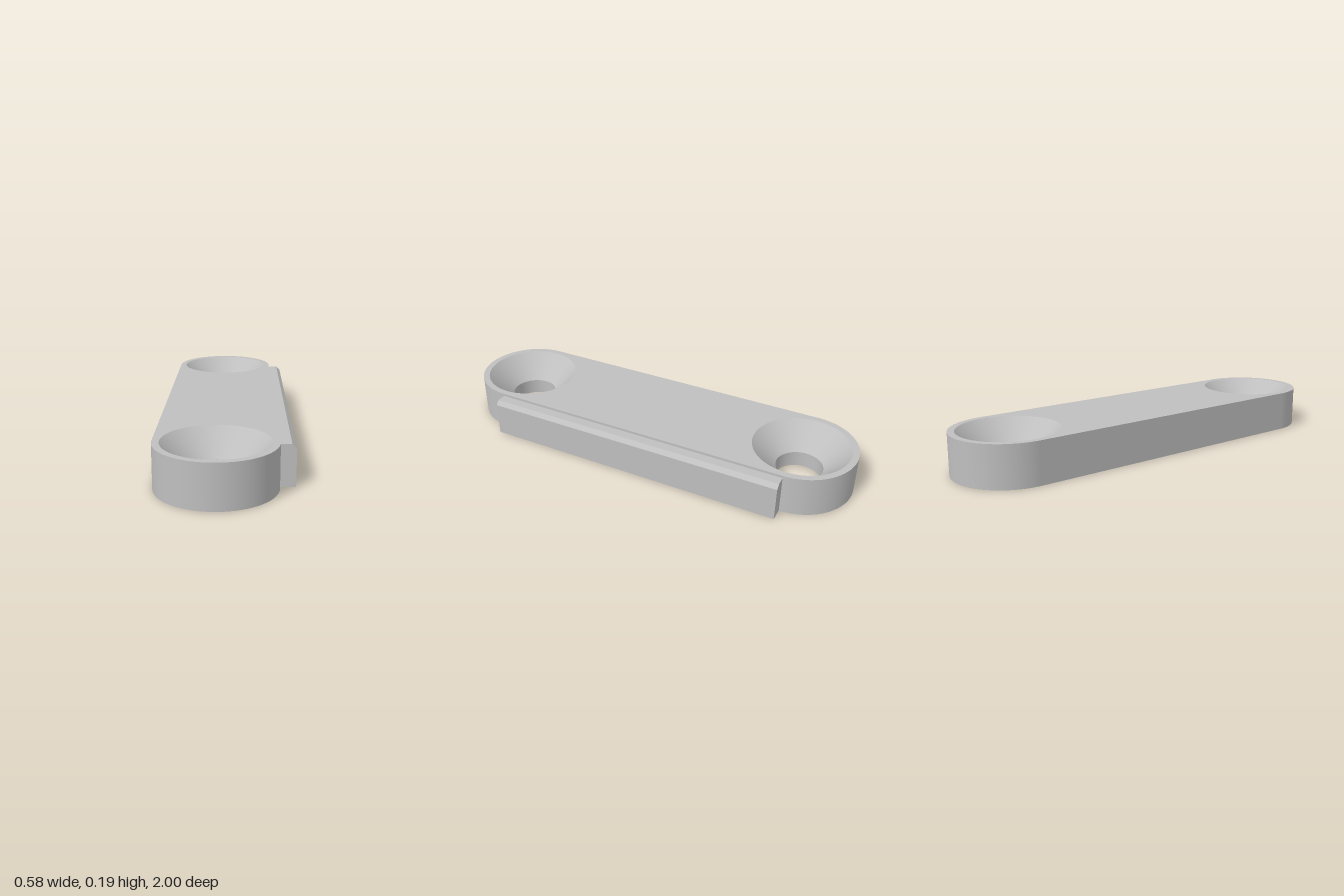
import * as THREE from 'three';

const H = 0.193;          // plate height
const R = 0.2575;         // end radius
const CX = -0.0325;       // plate centre line
const CZ = 0.7425;        // hole distance from the middle
const HOLE = 0.11, SINK = 0.227, SEAT = 0.076;
const SEG = 64;

export function createModel() {
  const model = new THREE.Group();
  const grey = new THREE.MeshStandardMaterial({ color: 0xbfbfbf });
  grey.name = 'grey';

  const add = (name, geometry, x = 0, y = 0, z = 0) => {
    const mesh = new THREE.Mesh(geometry, grey);
    mesh.name = name;
    mesh.position.set(x, y, z);
    model.add(mesh);
    return mesh;
  };

  // Rounded slot outline with two round holes
  const face = (holeRadius) => {
    const s = new THREE.Shape();
    s.absarc(0, CZ, R, 0, Math.PI);
    s.absarc(0, -CZ, R, Math.PI, 2 * Math.PI);
    s.closePath();
    for (const z of [CZ, -CZ]) {
      s.holes.push(new THREE.Path().absarc(0, z, holeRadius, 0, 2 * Math.PI, true));
    }
    return new THREE.ShapeGeometry(s, SEG / 2);
  };
  add('plateTop', face(SINK).rotateX(-Math.PI / 2), CX, H, 0);
  add('plateBottom', face(HOLE).rotateX(Math.PI / 2), CX, 0, 0);

  // Inward-facing ring: profile runs from top to bottom
  const bore = (r1, y1, r0, y0) => new THREE.LatheGeometry(
    [new THREE.Vector2(r1, y1), new THREE.Vector2(r0, y0)], SEG);

  for (const side of [1, -1]) {
    const end = side > 0 ? 'front' : 'back';
    // Rounded end wall, countersink and screw hole
    const start = side > 0 ? -Math.PI / 2 : Math.PI / 2;
    add(end + 'EndWall', new THREE.CylinderGeometry(R, R, H, SEG / 2, 1, true, start, Math.PI),
      CX, H / 2, side * CZ);
    add(end + 'Countersink', bore(SINK, H, HOLE, SEAT), CX, 0, side * CZ);
    add(end + 'ScrewHole', bore(HOLE, SEAT, HOLE, 0), CX, 0, side * CZ);
    // Straight long wall
    add(side > 0 ? 'leftWall' : 'rightWall',
      new THREE.PlaneGeometry(2 * CZ, H).rotateY(side * Math.PI / 2), CX + side * R, H / 2, 0);
  }

  // Side rail with a chamfered outer top edge
  const x0 = CX + R, x1 = 0.29;
  const profile = new THREE.Shape([
    [x0, 0], [x1, 0], [x1, 0.162], [0.271, 0.181], [x0, 0.181],
  ].map(([x, y]) => new THREE.Vector2(x, y)));
  add('sideRail', new THREE.ExtrudeGeometry(profile, { depth: 2 * 0.74, bevelEnabled: false }), 0, 0, -0.74);

  return model;
}
